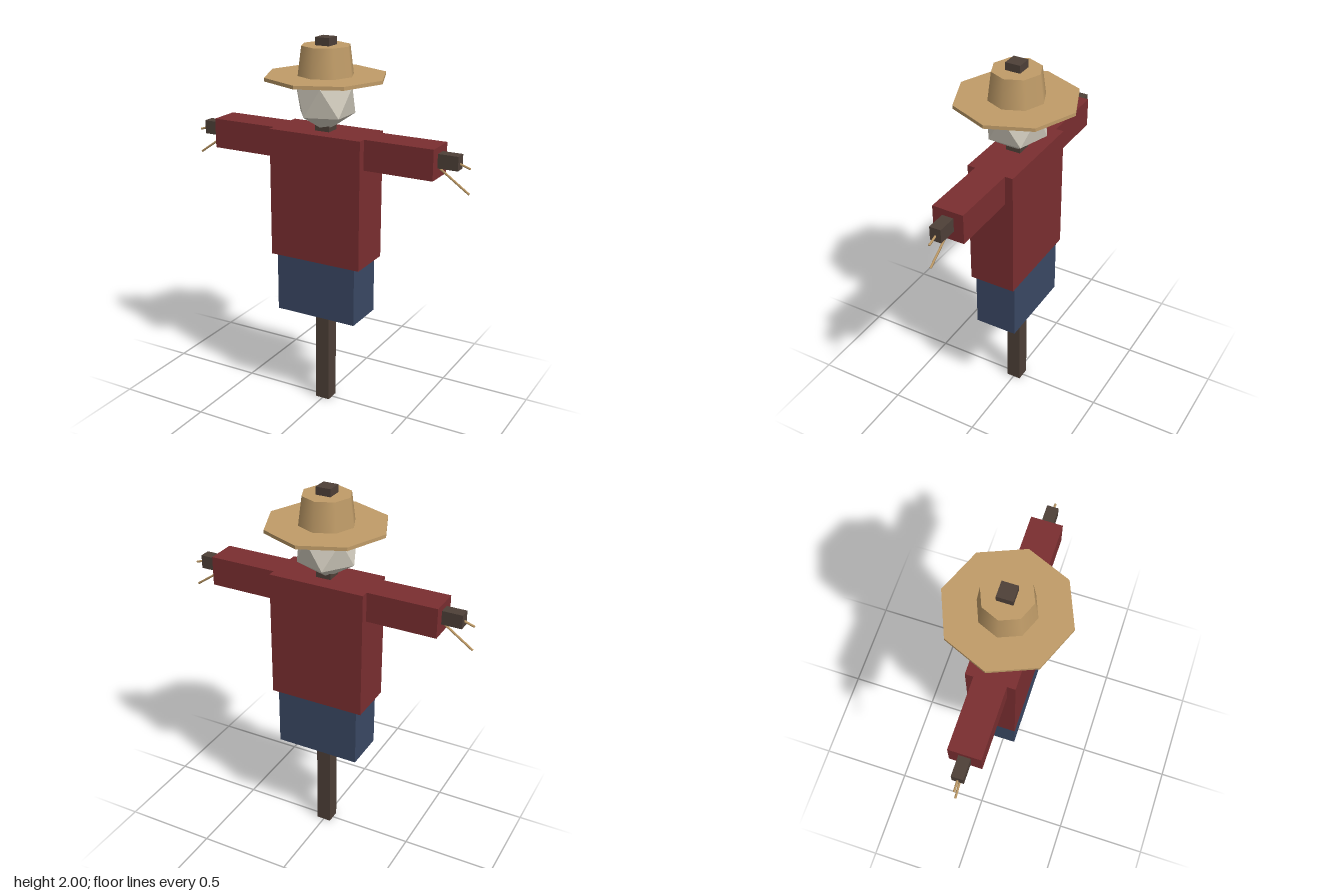
import * as THREE from 'three';

const mat = (name, color) => {
  const m = new THREE.MeshStandardMaterial({ color });
  m.name = name;
  return m;
};

export function createModel() {
  const wood = mat('dark wood', 0x4e4038);
  const shirt = mat('red cloth', 0x7a2e30);
  const denim = mat('blue cloth', 0x3a4864);
  const sack = mat('sackcloth', 0xd2ccbe);
  const straw = mat('straw', 0xc09c68);

  const model = new THREE.Group();
  model.name = 'scarecrow';

  const add = (name, geometry, material, x = 0, y = 0, z = 0) => {
    const mesh = new THREE.Mesh(geometry, material);
    mesh.name = name;
    mesh.position.set(x, y, z);
    model.add(mesh);
    return mesh;
  };
  // box spanning x0..x1 and y0..y1, centred on z
  const box = (name, material, x0, x1, y0, y1, depth) =>
    add(name, new THREE.BoxGeometry(x1 - x0, y1 - y0, depth), material, (x0 + x1) / 2, (y0 + y1) / 2);
  // thin stalk between two points in the z = 0 plane
  const stalk = (name, a, b) => {
    const dx = b[0] - a[0], dy = b[1] - a[1];
    const mesh = add(name, new THREE.CylinderGeometry(0.006, 0.006, Math.hypot(dx, dy), 5), straw,
      (a[0] + b[0]) / 2, (a[1] + b[1]) / 2);
    mesh.rotation.z = Math.atan2(dy, dx) - Math.PI / 2;
  };

  // wooden cross
  box('post', wood, -0.04, 0.04, 0, 2, 0.08);
  box('crossbar', wood, -0.735, 0.735, 1.425, 1.497, 0.06);

  // clothes
  box('trousers', denim, -0.23, 0.23, 0.53, 0.847, 0.23);
  box('shirtBody', shirt, -0.26, 0.26, 0.847, 1.53, 0.25);

  // sleeves and straw at both wrists
  for (const [side, s] of [['left', 1], ['right', -1]]) {
    const xs = [0.25 * s, 0.63 * s].sort((a, b) => a - b);
    box(side + 'Sleeve', shirt, xs[0], xs[1], 1.373, 1.53, 0.165);
    stalk(side + 'UpperStraw', [0.62 * s, 1.492], [0.787 * s, 1.437]);
    stalk(side + 'LowerStraw', [0.6 * s, 1.439], [0.787 * s, 1.31]);
  }

  // head: icosahedron standing on one corner
  const headShape = new THREE.IcosahedronGeometry(0.168, 0);
  headShape.rotateZ(-Math.atan(2 / (1 + Math.sqrt(5))));
  add('head', headShape, sack, 0, 1.69, 0);

  // eight-sided hat
  const brimShape = new THREE.CylinderGeometry(0.315, 0.315, 0.018, 8).toNonIndexed();
  brimShape.computeVertexNormals();
  add('hatBrim', brimShape, straw, 0, 1.803, 0);
  add('hatCrown', new THREE.CylinderGeometry(0.126, 0.147, 0.16, 8), straw, 0, 1.88, 0);

  return model;
}
